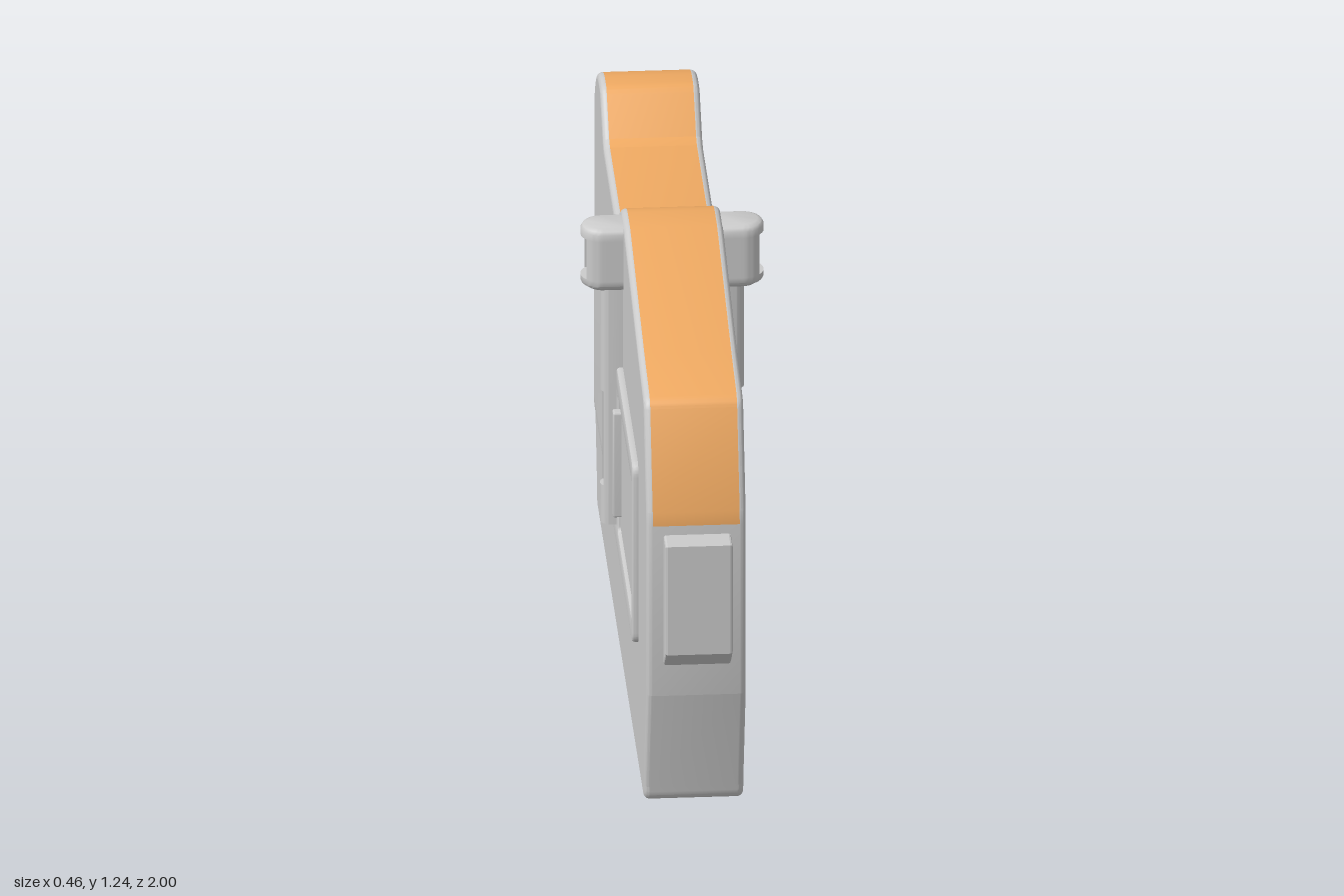
import * as THREE from 'three';
import { toCreasedNormals } from 'three/addons/utils/BufferGeometryUtils.js';

const grey = new THREE.MeshStandardMaterial({ color: 0xcccccc });
const orange = new THREE.MeshStandardMaterial({ color: 0xf0aa62 });

function mesh(name, geometry, material = grey) {
  const m = new THREE.Mesh(geometry, material);
  m.name = name;
  return m;
}

// Extrude a (z, y) side profile across x, between xMin and xMax, with edges rounded inwards
function slab(shape, xMin, xMax, bevel, segments = 6) {
  const g = new THREE.ExtrudeGeometry(shape, {
    depth: xMax - xMin - 2 * bevel, bevelThickness: bevel, bevelSize: bevel,
    bevelOffset: -bevel, bevelSegments: segments, curveSegments: 6,
  });
  g.rotateY(-Math.PI / 2);
  g.translate(xMax - bevel, 0, 0);
  return toCreasedNormals(g, 0.3);
}

function roundedRect(target, z0, y0, z1, y1, r) {
  target.moveTo(z0 + r, y0);
  target.lineTo(z1 - r, y0);
  target.quadraticCurveTo(z1, y0, z1, y0 + r);
  target.lineTo(z1, y1 - r);
  target.quadraticCurveTo(z1, y1, z1 - r, y1);
  target.lineTo(z0 + r, y1);
  target.quadraticCurveTo(z0, y1, z0, y1 - r);
  target.lineTo(z0, y0 + r);
  target.quadraticCurveTo(z0, y0, z0 + r, y0);
  return target;
}

// Body: side profile with grey sides and an orange band along the top
function body() {
  const s = new THREE.Shape();
  s.moveTo(-0.88, 0);
  s.lineTo(0.80, 0);
  s.quadraticCurveTo(0.84, 0, 0.84, 0.045);
  s.lineTo(0.93, 0.34);
  s.lineTo(0.93, 0.81);
  s.lineTo(0.925, 0.845);
  s.lineTo(0.835, 1.09);
  s.quadraticCurveTo(0.825, 1.11, 0.80, 1.115);
  s.lineTo(0.62, 1.14);
  s.lineTo(0.09, 1.24);
  s.lineTo(0.0, 1.24);
  s.quadraticCurveTo(-0.06, 1.235, -0.12, 1.18);
  s.lineTo(-0.18, 1.12);
  s.lineTo(-0.205, 1.11);
  s.lineTo(-0.65, 1.11);
  s.lineTo(-0.68, 1.12);
  s.lineTo(-0.765, 1.20);
  s.quadraticCurveTo(-0.78, 1.215, -0.80, 1.215);
  s.bezierCurveTo(-0.90, 1.22, -0.955, 1.185, -1, 1.10);
  s.lineTo(-1, 0.34);
  s.lineTo(-0.905, 0.045);
  s.quadraticCurveTo(-0.905, 0, -0.88, 0);

  const g = slab(s, -0.125, 0.125, 0.016);
  const pos = g.attributes.position.array, nor = g.attributes.normal.array;
  const split = { shell: [[], []], band: [[], []] };
  for (let i = 0; i < pos.length; i += 9) {
    const mid = [0, 1, 2].map(k => (pos[i + k] + pos[i + 3 + k] + pos[i + 6 + k]) / 3);
    // keep the large side faces perfectly flat
    if (Math.abs(mid[0]) > 0.1249) {
      for (let k = 0; k < 9; k++) nor[i + k] = k % 3 === 0 ? Math.sign(mid[0]) : 0;
    }
    const isBand = Math.abs(mid[0]) < 0.1 && mid[1] > 0.81 && mid[2] > -0.9995;
    const part = isBand ? split.band : split.shell;
    part[0].push(...pos.slice(i, i + 9));
    part[1].push(...nor.slice(i, i + 9));
  }
  const make = ([p, n]) => new THREE.BufferGeometry()
    .setAttribute('position', new THREE.Float32BufferAttribute(p, 3))
    .setAttribute('normal', new THREE.Float32BufferAttribute(n, 3));
  const group = new THREE.Group();
  group.name = 'body';
  group.add(mesh('bodyShell', make(split.shell)), mesh('topBand', make(split.band), orange));
  return group;
}

// Upright with a round outer edge, lofted through sections [y, inset, notched];
// a notched section is cut back to x = floor over |z| < slot
function roundedUpright(cx, r, slot, floor, sections) {
  const ring = ([y, inset, notched]) => {
    const a = Math.asin(slot / r), R = r - inset, pts = [[0.1, y, -R]];
    const arc = (from, to, n, cut) => {
      for (let i = 0; i <= n; i++) {
        const t = from + (to - from) * i / n;
        pts.push([cut ? floor : cx + R * Math.cos(t), y, R * Math.sin(t)]);
      }
    };
    arc(-Math.PI / 2, -a, 6, false);
    arc(-a, a, 6, notched);
    arc(a, Math.PI / 2, 6, false);
    pts.push([0.1, y, R]);
    return pts;
  };
  const rings = sections.map(ring), n = rings[0].length, index = [];
  for (let j = 0; j < rings.length - 1; j++) {
    for (let i = 0; i < n; i++) {
      const a = j * n + i, b = j * n + (i + 1) % n;
      index.push(a, a + n, b, b, a + n, b + n);
    }
  }
  const top = (rings.length - 1) * n;
  for (let i = 1; i < n - 1; i++) {
    index.push(0, i, i + 1, top, top + i + 1, top + i);
  }
  const g = new THREE.BufferGeometry();
  g.setAttribute('position', new THREE.Float32BufferAttribute(rings.flat(2), 3));
  g.setIndex(index);
  return toCreasedNormals(g, 0.6);
}

// Slotted post with a larger windowed head
function post(name) {
  const group = new THREE.Group();
  group.name = name;
  group.add(mesh('postShaft', roundedUpright(0.151, 0.03, 0.02, 0.158, [
    [0.405, 0, false], [0.51, 0, false], [0.51, 0, true],
    [0.77, 0, true], [0.77, 0, false], [1.08, 0, false],
  ])));
  group.add(mesh('postHead', roundedUpright(0.175, 0.055, 0.036, 0.195, [
    [1.058, 0.02, false], [1.07, 0.003, false], [1.076, 0, false], [1.09, 0, false],
    [1.09, 0, true], [1.2, 0, true], [1.2, 0, false], [1.218, 0, false],
    [1.226, 0.005, false], [1.231, 0.016, false],
  ])));
  group.position.z = 0.033;
  return group;
}

export function createModel() {
  const model = new THREE.Group();
  model.name = 'device';
  model.add(body());

  // Latch on the front edge
  const latch = new THREE.Shape([[0.9, 0.42], [0.93, 0.425], [1, 0.485], [1, 0.785], [0.9, 0.785]]
    .map(p => new THREE.Vector2(...p)));
  model.add(mesh('frontLatch', slab(latch, -0.082, 0.087, 0.006, 2)));

  // Raised cover on the right side with a recessed door and its grip
  const cover = roundedRect(new THREE.Shape(), -0.78, 0.34, 0.635, 0.84, 0.035);
  cover.holes.push(roundedRect(new THREE.Path(), 0.09, 0.40, 0.60, 0.78, 0.015));
  model.add(mesh('sideCover', slab(cover, -0.141, -0.115, 0.008, 3)));
  const door = roundedRect(new THREE.Shape(), 0.105, 0.415, 0.585, 0.765, 0.01);
  model.add(mesh('coverDoor', slab(door, -0.134, -0.115, 0.004, 2)));
  const grip = roundedRect(new THREE.Shape(), 0.11, 0.46, 0.14, 0.75, 0.006);
  model.add(mesh('doorGrip', slab(grip, -0.155, -0.12, 0.004, 2)));

  // Posts on both sides
  const rightPost = post('rightPost');
  rightPost.rotation.y = Math.PI;
  model.add(post('leftPost'), rightPost);
  return model;
}
